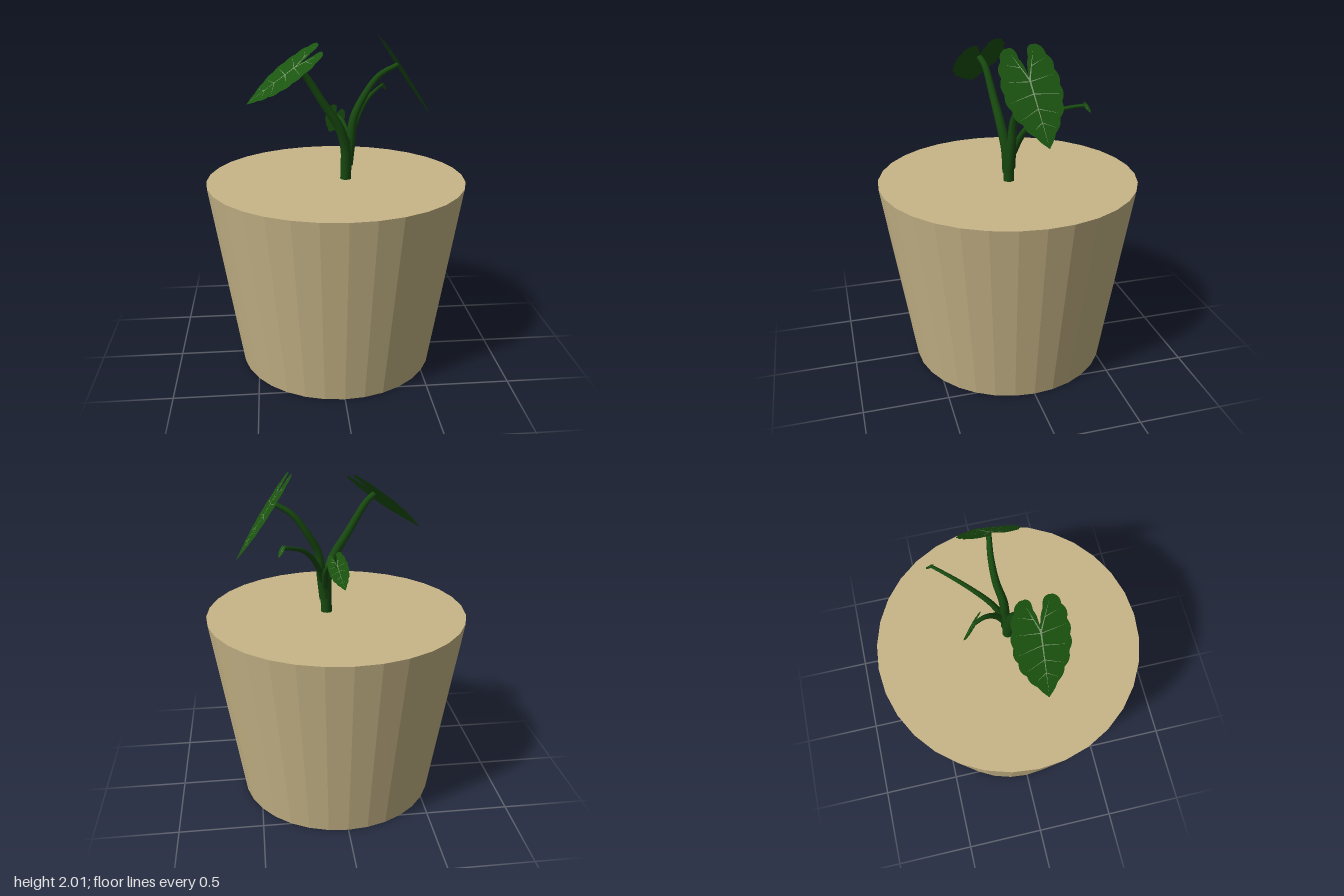
import * as THREE from 'three';
import { mergeGeometries } from 'three/addons/utils/BufferGeometryUtils.js';

const V = (a) => new THREE.Vector3(...a);
const clay = new THREE.MeshStandardMaterial({ color: 0xc8b688, flatShading: true });
const stemMat = new THREE.MeshStandardMaterial({ color: 0x17490f });
const leafMat = new THREE.MeshStandardMaterial({ color: 0x1b5410, side: THREE.DoubleSide });
const veinMat = new THREE.MeshStandardMaterial({ color: 0x7f9a74, side: THREE.DoubleSide });

function mesh(name, geometry, material) {
  const m = new THREE.Mesh(geometry, material);
  m.name = name;
  return m;
}

// Tube along a smooth path, narrowing from r0 to r1
function stem(name, points, r0, r1) {
  const curve = new THREE.CatmullRomCurve3(points.map(V));
  const seg = 28, sides = 10;
  const g = new THREE.TubeGeometry(curve, seg, 1, sides);
  const pos = g.attributes.position, p = new THREE.Vector3();
  for (let i = 0; i <= seg; i++) {
    const c = curve.getPointAt(i / seg), r = THREE.MathUtils.lerp(r0, r1, i / seg);
    for (let j = 0; j <= sides; j++) {
      const k = i * (sides + 1) + j;
      p.fromBufferAttribute(pos, k).sub(c).multiplyScalar(r).add(c);
      pos.setXYZ(k, p.x, p.y, p.z);
    }
  }
  return mesh(name, g, stemMat);
}

// Arrow-shaped blade: stalk joins at the origin, tip at (0, 1), two lobes behind
const HALF = [[0, -0.1], [0.05, -0.3], [0.12, -0.48], [0.2, -0.52], [0.3, -0.43], [0.38, -0.25],
  [0.41, -0.05], [0.42, 0.15], [0.4, 0.3], [0.34, 0.5], [0.24, 0.68], [0.11, 0.86], [0, 1]];

function bladeGeometry() {
  const curve = new THREE.CatmullRomCurve3(HALF.map(([x, y]) => new THREE.Vector3(x, y, 0)));
  const n = 72, side = [];
  for (let i = 0; i <= n; i++) {
    const t = i / n, p = curve.getPointAt(t), d = curve.getTangentAt(t);
    // Scalloped edge, fading out at the notch and the tip
    const w = 0.028 * (Math.abs(Math.sin(t * Math.PI * 9)) - 0.5) * Math.min(1, 5 * t, 5 * (1 - t));
    side.push(new THREE.Vector2(i % n ? p.x + d.y * w : 0, p.y - d.x * w));
  }
  const mirrored = side.slice(1, -1).reverse().map((p) => new THREE.Vector2(-p.x, p.y));
  return new THREE.ShapeGeometry(new THREE.Shape([...side, ...mirrored]));
}

// Flat tapering ribbons for the midrib and the paired side veins
function veinGeometry() {
  const strip = (a, b, w) => {
    const p = new THREE.Vector2(...a), q = new THREE.Vector2(...b);
    const d = q.clone().sub(p).normalize().multiplyScalar(w);
    return new THREE.ShapeGeometry(new THREE.Shape([
      new THREE.Vector2(p.x + d.y, p.y - d.x), q, new THREE.Vector2(p.x - d.y, p.y + d.x)]));
  };
  const parts = [strip([0, -0.04], [0, 0.97], 0.013)];
  for (const s of [-1, 1]) {
    parts.push(strip([0, 0], [s * 0.17, -0.43], 0.011));
    parts.push(strip([s * 0.08, -0.2], [s * 0.3, -0.28], 0.006));
    parts.push(strip([0, 0.02], [s * 0.37, -0.03], 0.007));
    parts.push(strip([0, 0.2], [s * 0.37, 0.27], 0.007));
    parts.push(strip([0, 0.42], [s * 0.29, 0.54], 0.006));
    parts.push(strip([0, 0.62], [s * 0.18, 0.73], 0.005));
  }
  return mergeGeometries(parts).translate(0, 0, 0.005);
}

export function createModel() {
  const model = new THREE.Group();

  const pot = mesh('pot', new THREE.CylinderGeometry(0.78, 0.6, 1.165, 32), clay);
  pot.position.y = 1.165 / 2;
  model.add(pot);

  // Trunk and leaf stalks
  model.add(
    stem('trunk', [[0.058, 1.14, 0.01], [0.06, 1.28, 0.01], [0.075, 1.42, 0.0]], 0.034, 0.028),
    stem('rightStalk', [[0.06, 1.22, 0.015], [0.055, 1.36, 0.025], [0.015, 1.49, 0.045],
      [-0.08, 1.64, 0.065], [-0.19, 1.81, 0.09], [-0.24, 1.85, 0.11]], 0.034, 0.018),
    stem('leftStalk', [[0.07, 1.25, 0.005], [0.09, 1.4, 0], [0.105, 1.53, -0.005],
      [0.17, 1.66, -0.03], [0.26, 1.78, -0.035], [0.37, 1.845, -0.02]], 0.032, 0.014),
    stem('smallStalk', [[0.07, 1.32, 0], [0.07, 1.43, -0.06], [0.045, 1.5, -0.13],
      [0.015, 1.51, -0.19]], 0.024, 0.01),
    stem('shootStalk', [[0.08, 1.36, -0.01], [0.125, 1.49, -0.07], [0.2, 1.6, -0.18],
      [0.3, 1.66, -0.31], [0.335, 1.67, -0.355]], 0.02, 0.009));

  // Leaves: name, stalk joint, tip, upper-face direction, relative width
  const blade = bladeGeometry(), veins = veinGeometry();
  const leaves = [
    ['rightLeaf', [-0.24, 1.853, 0.11], [-0.52, 1.645, 0.095], [-0.2, 0.28, 0.09], 1.1],
    ['leftLeaf', [0.37, 1.84, -0.018], [0.585, 1.525, -0.065], [0.825, 0.565, 0], 1],
    ['smallLeaf', [0.015, 1.51, -0.19], [-0.02, 1.39, -0.265], [0.5, 0.4, -0.7], 1],
    ['shootLeaf', [0.332, 1.668, -0.355], [0.352, 1.63, -0.38], [0.6, 0.5, -0.4], 0.9],
  ];
  for (const [name, joint, tip, up, width] of leaves) {
    const T = V(tip).sub(V(joint)), size = T.length();
    T.normalize();
    const L = T.clone().cross(V(up)).normalize();
    const N = L.clone().cross(T);
    const leaf = new THREE.Group();
    leaf.name = name;
    leaf.add(mesh(name + 'Blade', blade, leafMat), mesh(name + 'Veins', veins, veinMat));
    leaf.quaternion.setFromRotationMatrix(new THREE.Matrix4().makeBasis(L, T, N));
    leaf.position.copy(V(joint));
    leaf.scale.set(size * width, size, size);
    model.add(leaf);
  }
  return model;
}
